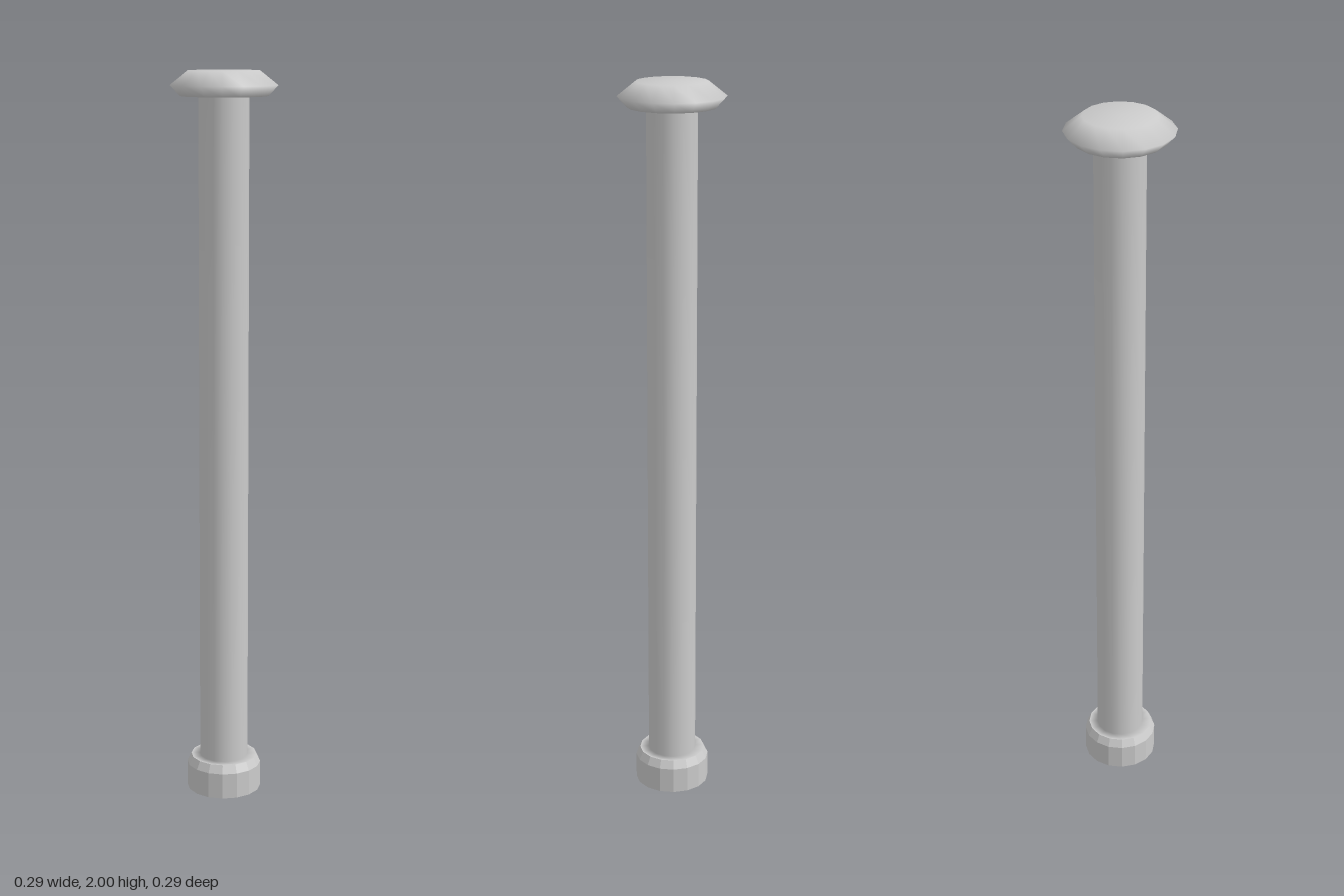
import * as THREE from 'three';

const SIDES = 16;

export function createModel() {
  const model = new THREE.Group();

  // Revolves a profile of [radius, height] pairs, listed from bottom to top
  const addTurned = (name, profile, flatShading = false) => {
    const points = profile.map(([r, y]) => new THREE.Vector2(r, y));
    const material = new THREE.MeshStandardMaterial({ color: 0xcccccc, flatShading });
    const mesh = new THREE.Mesh(new THREE.LatheGeometry(points, SIDES), material);
    mesh.name = name;
    model.add(mesh);
  };

  // Faceted foot with a chamfered upper edge
  addTurned('foot', [[0, 0], [0.103, 0], [0.103, 0.072], [0.092, 0.095]], true);

  // Shaft, blending softly into the foot's top and the head's underside
  addTurned('shaft', [[0.092, 0.095], [0.067, 0.095], [0.067, 1.934], [0.117, 1.934]]);

  // Button head, widest a little below its top
  addTurned('head', [[0.117, 1.934], [0.143, 1.962], [0.095, 2], [0, 2]]);

  return model;
}
